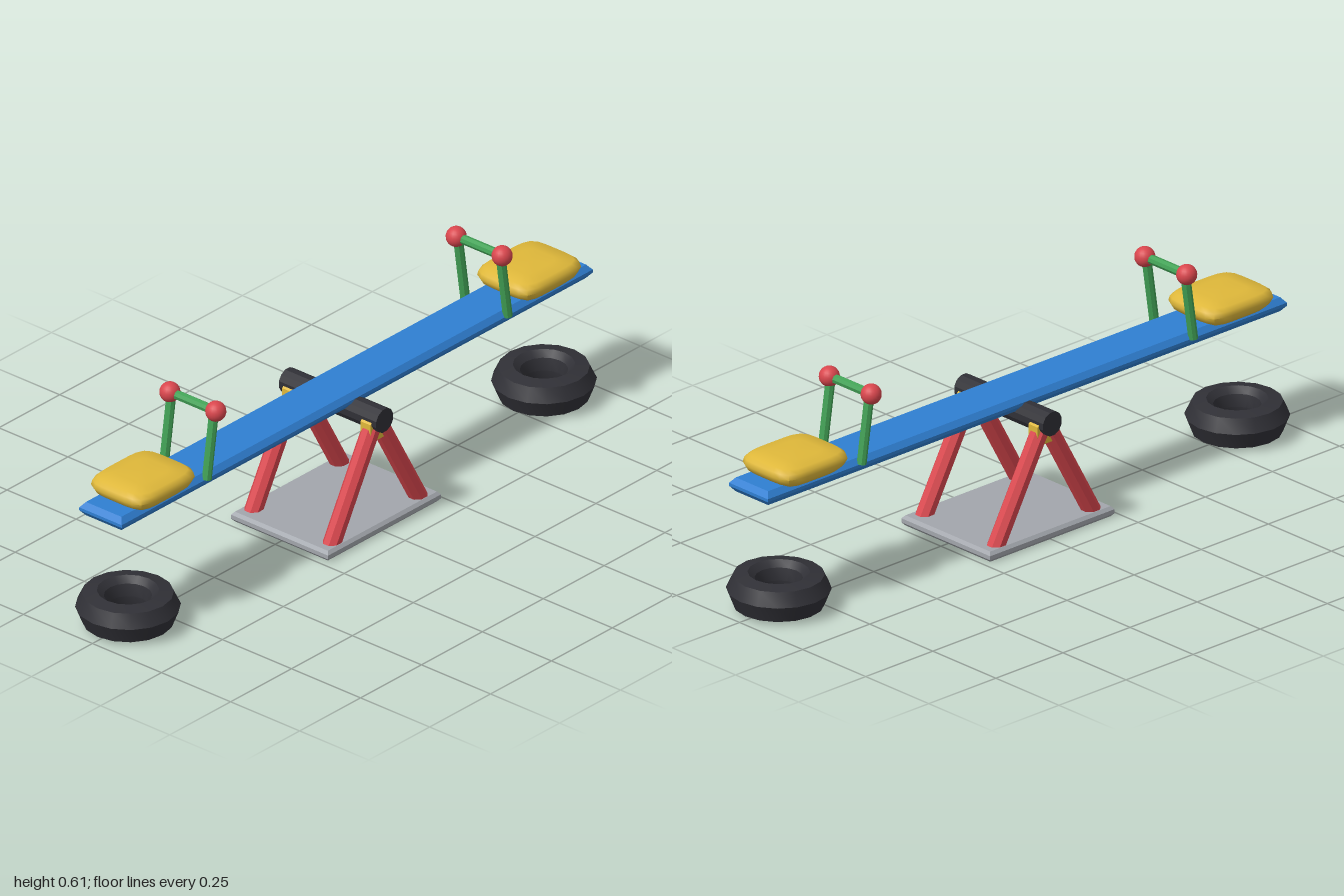
import * as THREE from 'three';
import { toCreasedNormals, mergeVertices } from 'three/addons/utils/BufferGeometryUtils.js';

const paint = (name, color) => {
  const m = new THREE.MeshStandardMaterial({ color });
  m.name = name;
  return m;
};

// Box lying flat with bevelled rims all round; y0 is its underside
function slab(w, h, d, bevel, rim, y0) {
  const x = w / 2 - bevel, z = d / 2 - bevel;
  const shape = new THREE.Shape([[-x, -z], [x, -z], [x, z], [-x, z]].map(p => new THREE.Vector2(...p)));
  const g = new THREE.ExtrudeGeometry(shape, {
    depth: h - 2 * rim, bevelEnabled: true, bevelSize: bevel, bevelThickness: rim, bevelSegments: 1,
  });
  return g.rotateX(-Math.PI / 2).translate(0, y0 + rim, 0);
}

const lathe = (points, sides) =>
  new THREE.LatheGeometry(points.map(p => new THREE.Vector2(...p)), sides);

// Soft cushion: a lathe whose round sections are squared off
function cushion(halfX, halfZ) {
  const g = lathe([[0, 0.39], [0.8, 0.39], [0.93, 0.403], [1, 0.42], [0.97, 0.434], [0.87, 0.444], [0.5, 0.449], [0, 0.45]], 32);
  const p = g.attributes.position;
  for (let i = 0; i < p.count; i++) {
    const x = p.getX(i), z = p.getZ(i), r = Math.hypot(x, z) || 1;
    const k = (Math.abs(x / r) ** 5 + Math.abs(z / r) ** 5) ** -0.2 || 1;
    if (Math.hypot(x, z) > 1e-6) p.setXYZ(i, x * k * halfX, p.getY(i), z * k * halfZ);
  }
  g.deleteAttribute('uv');
  g.deleteAttribute('normal');
  return toCreasedNormals(mergeVertices(g, 1e-5), 0.9);
}

// Straight faceted bar between two points
function bar(a, b, radius, sides) {
  const dir = b.clone().sub(a);
  const g = new THREE.CylinderGeometry(radius, radius, dir.length(), sides);
  g.rotateY(Math.PI / sides);
  g.applyQuaternion(new THREE.Quaternion().setFromUnitVectors(new THREE.Vector3(0, 1, 0), dir.normalize()));
  g.translate((a.x + b.x) / 2, (a.y + b.y) / 2, (a.z + b.z) / 2);
  return toCreasedNormals(g, 0.4);
}

export function createModel() {
  const blue = paint('board blue', 0x2f7fd2);
  const red = paint('frame red', 0xd9464d);
  const yellow = paint('seat yellow', 0xdfb83a);
  const green = paint('handle green', 0x42a256);
  const black = paint('rubber black', 0x303036);
  const grey = paint('base grey', 0xa2a6ac);

  const model = new THREE.Group();
  model.name = 'seesaw';
  const add = (name, geometry, material) => {
    const mesh = new THREE.Mesh(geometry, material);
    mesh.name = name;
    model.add(mesh);
    return mesh;
  };
  const v = (x, y, z) => new THREE.Vector3(x, y, z);

  // Ground plate, pivot and plank
  add('basePlate', slab(0.464, 0.03, 0.352, 0.008, 0.009, 0), grey);
  add('axle', bar(v(0, 0.344, -0.176), v(0, 0.344, 0.176), 0.036, 12), black);
  add('board', slab(1.934, 0.041, 0.154, 0.013, 0.016, 0.355), blue);

  // A-frames with a clamp under the axle
  for (const side of [1, -1]) {
    const z = 0.142 * side;
    for (const s of [1, -1]) {
      add('leg', bar(v(0.183 * s, 0.016, z), v(0.008 * s, 0.33, z), 0.026, 8), red);
    }
    add('clamp', bar(v(0, 0.323, z - 0.018), v(0, 0.323, z + 0.018), 0.043, 8), yellow);
  }

  // Seat, handle and tyre at each end
  const seat = cushion(0.126, 0.105);
  const tyre = toCreasedNormals(lathe([
    [0.085, 0], [0.125, 0.012], [0.144, 0.06], [0.125, 0.1], [0.085, 0.107],
    [0.066, 0.09], [0.058, 0.055], [0.066, 0.018], [0.085, 0],
  ], 16), 0.5);
  const knob = new THREE.SphereGeometry(0.029, 20, 14);

  for (const s of [1, -1]) {
    add('seat', seat, yellow).position.x = 0.793 * s;
    add('tyre', tyre, black).position.x = 0.854 * s;

    // Bent tube leaning towards the pivot
    const lean = y => (0.617 - (y - 0.385) * 0.15) * s;
    const path = new THREE.CurvePath();
    const at = (y, z) => v(lean(y), y, z);
    const bend = 0.026, top = 0.58, w = 0.077;
    path.add(new THREE.LineCurve3(at(0.38, w), at(top - bend, w)));
    path.add(new THREE.QuadraticBezierCurve3(at(top - bend, w), at(top, w), at(top, w - bend)));
    path.add(new THREE.LineCurve3(at(top, w - bend), at(top, bend - w)));
    path.add(new THREE.QuadraticBezierCurve3(at(top, bend - w), at(top, -w), at(top - bend, -w)));
    path.add(new THREE.LineCurve3(at(top - bend, -w), at(0.38, -w)));
    add('handle', toCreasedNormals(new THREE.TubeGeometry(path, 60, 0.0135, 8), 0.5), green);

    for (const side of [1, -1]) add('knob', knob, red).position.set(lean(top), top, 0.083 * side);
  }
  return model;
}
